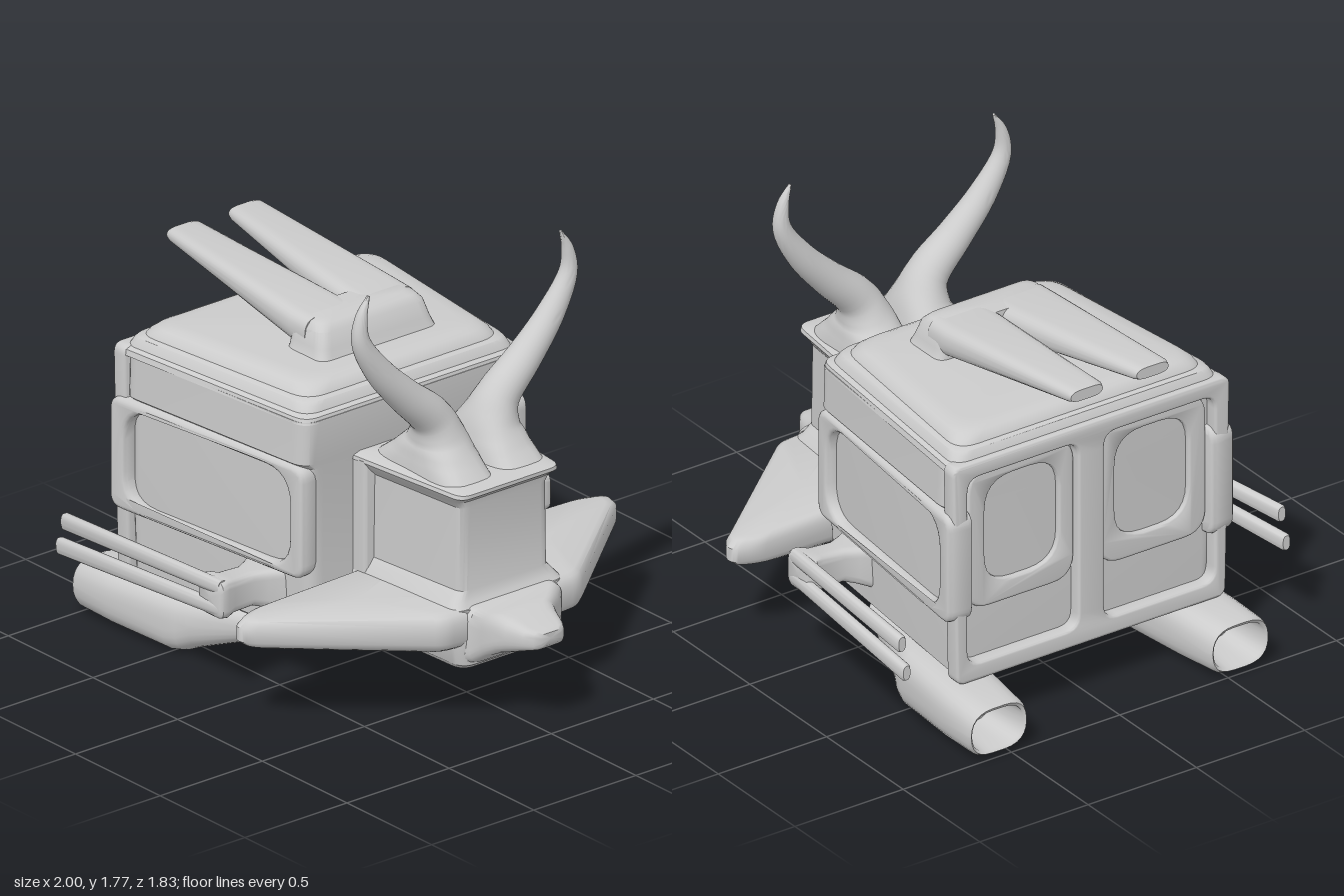
import * as THREE from 'three';
import { toCreasedNormals } from 'three/addons/utils/BufferGeometryUtils.js';

const V = (x, y, z) => new THREE.Vector3(x, y, z);
const material = new THREE.MeshStandardMaterial({ color: 0xcccccc });

// Rounds the corners of a 2D polygon; the point count depends only on the corner count.
function rounded(corners, r, n = 6) {
  const pts = corners.map(c => new THREE.Vector2(...c)), out = [];
  pts.forEach((p, i) => {
    const cut = q => p.clone().lerp(q, Math.min(0.49, r / p.distanceTo(q)));
    const a = cut(pts.at(i - 1)), b = cut(pts[(i + 1) % pts.length]);
    out.push(...new THREE.QuadraticBezierCurve(a, p, b).getPoints(n));
  });
  return out;
}
const rect = (a0, a1, b0, b1, r) => rounded([[a0, b0], [a1, b0], [a1, b1], [a0, b1]], r);

// Closed skin over a row of rings, turned outward by its signed volume.
function loft(rings, crease = 0.8) {
  const n = rings[0].length, pts = rings.flat(), idx = [];
  for (let i = 0; i < rings.length - 1; i++)
    for (let j = 0; j < n; j++) {
      const a = i * n + j, b = i * n + (j + 1) % n;
      idx.push(a, b, a + n, b, b + n, a + n);
    }
  [0, rings.length - 1].forEach((k, end) => {
    const mid = rings[k].reduce((s, p) => s.add(p), V(0, 0, 0)).divideScalar(n);
    const c = pts.push(mid) - 1;
    for (let j = 0; j < n; j++) {
      const a = k * n + j, b = k * n + (j + 1) % n;
      idx.push(...(end ? [a, b, c] : [b, a, c]));
    }
  });
  let vol = 0;
  for (let i = 0; i < idx.length; i += 3)
    vol += pts[idx[i]].dot(V(0, 0, 0).crossVectors(pts[idx[i + 1]], pts[idx[i + 2]]));
  if (vol < 0) idx.reverse();
  const g = new THREE.BufferGeometry().setFromPoints(pts);
  g.setIndex(idx);
  return toCreasedNormals(g, crease);
}

// Stack of rounded trapezoids: [y, xBack, xFront, halfWidthBack, halfWidthFront, radius]
const stack = rows => loft(rows.map(([y, x0, x1, h0, h1, r]) =>
  rounded([[x0, -h0], [x1, -h1], [x1, h1], [x0, h0]], r).map(p => V(p.x, y, p.y))), 0.55);

// Row of rounded rectangles along x: [x, y0, y1, z0, z1, radius]
const alongX = rows => loft(rows.map(([x, y0, y1, z0, z1, r]) =>
  rect(z0, z1, y0, y1, r).map(p => V(x, p.y, p.x))));

// Flat frame with rounded openings; bevel softens the edges.
function frame(outer, holes, depth, bevel = 0.012) {
  const s = new THREE.Shape(outer);
  s.holes = holes.map(h => new THREE.Path(h));
  const g = new THREE.ExtrudeGeometry(s, { depth: depth - 2 * bevel, bevelThickness: bevel, bevelSize: bevel, bevelOffset: -bevel, bevelSegments: 3 });
  g.deleteAttribute('uv');
  return toCreasedNormals(g, 0.8);
}

function mirrorZ(geo) {
  const g = geo.index ? geo.toNonIndexed() : geo.clone();
  g.scale(1, 1, -1);
  for (const a of Object.values(g.attributes))
    for (let i = 0; i < a.count; i += 3)
      for (let k = 0; k < a.itemSize; k++) {
        const t = a.getComponent(i + 1, k);
        a.setComponent(i + 1, k, a.getComponent(i + 2, k));
        a.setComponent(i + 2, k, t);
      }
  return g;
}

// Horn: rings swept along a curve in the y-z plane, boxy at the mound and oval above.
function horn() {
  const path = new THREE.CatmullRomCurve3([
    V(0.46, 0.95, 0.125), V(0.47, 1.03, 0.125), V(0.48, 1.1, 0.132), V(0.488, 1.18, 0.165), V(0.49, 1.3, 0.29),
    V(0.488, 1.44, 0.42), V(0.487, 1.59, 0.508), V(0.487, 1.69, 0.503), V(0.487, 1.765, 0.47)]);
  // half size across the curve, half size along x
  const size = new THREE.CatmullRomCurve3([
    V(0.123, 0.27, 0), V(0.114, 0.185, 0), V(0.1, 0.125, 0), V(0.082, 0.088, 0), V(0.068, 0.07, 0),
    V(0.055, 0.054, 0), V(0.037, 0.036, 0), V(0.023, 0.024, 0), V(0.005, 0.007, 0)]);
  const rings = [], n = 40;
  for (let i = 0; i <= n; i++) {
    const p = path.getPoint(i / n), t = path.getTangent(i / n), s = size.getPoint(i / n);
    const side = V(0, -t.z, t.y).normalize(), e = Math.min(1, 0.45 + 1.8 * i / n);
    const wave = v => Math.sign(v) * Math.abs(v) ** e;
    const ring = [];
    for (let j = 0; j < 28; j++) {
      const a = j / 28 * Math.PI * 2;
      ring.push(p.clone().addScaledVector(side, wave(Math.cos(a)) * s.x).add(V(wave(Math.sin(a)) * s.y, 0, 0)));
    }
    rings.push(ring);
  }
  return loft(rings, 1.2);
}

// Triangular wing, thinner toward its tip.
function wing() {
  const corners = [[0.2, 0], [0.2, 0.82], [0.235, 0.92], [0.295, 0.91], [0.775, 0.33], [0.79, 0]];
  const outline = rounded(corners, 0.04);
  const rows = [[0.33, 0.9], [0.345, 0.96], [0.375, 1], [0.455, 1], [0.49, 0.96], [0.5, 0.9]];
  return loft(rows.map(([y, k]) => outline.map(p => {
    const z = p.y < 0.05 ? p.y : 0.25 + (p.y - 0.25) * k;
    return V(0.42 + (p.x - 0.42) * k, 0.42 + (y - 0.42) * (1 - 0.33 * z), z);
  })));
}

export function createModel() {
  const model = new THREE.Group();
  const add = (name, geo) => {
    const m = new THREE.Mesh(geo, material);
    m.name = name;
    model.add(m);
  };
  const pair = (name, geo) => { add(name + 'Left', mirrorZ(geo)); add(name + 'Right', geo); };

  // Cabin with stepped roof
  add('cabin', stack([
    [0.23, -0.765, 0.17, 0.56, 0.47, 0.05], [0.255, -0.765, 0.19, 0.595, 0.5, 0.06],
    [0.5, -0.765, 0.195, 0.605, 0.51, 0.06], [0.95, -0.765, 0.195, 0.605, 0.51, 0.06],
    [0.975, -0.765, 0.2, 0.635, 0.545, 0.07], [1.15, -0.765, 0.2, 0.63, 0.54, 0.07]]));
  // each roof row: height and inset from the cabin outline
  const roofSteps = [[1.14, 0], [1.163, 0.006], [1.172, 0.026], [1.195, 0.036], [1.207, 0.045],
    [1.214, 0.066], [1.232, 0.076], [1.248, 0.095], [1.258, 0.118], [1.262, 0.16]];
  add('roof', stack(roofSteps.map(([y, d]) => [y, -0.815 + d * 0.9, 0.2 - d, 0.64 - d, 0.54 - d, 0.06 + d * 0.5])));

  // Raised window surrounds on the slanted side walls
  const side = frame(rect(-0.51, 0.51, 0.505, 0.965, 0.06),
    [rect(-0.43, 0.435, 0.535, 0.93, 0.13)], 0.11, 0.02);
  side.translate(0, 0, -0.09).rotateY(0.107).translate(-0.31, 0, 0.607);
  pair('windowFrame', side);

  // Rear doors
  const rear = frame(rounded([[-0.62, 0.235], [0.62, 0.235], [0.64, 1.175], [-0.64, 1.175]], 0.04),
    [-1, 1].map(s => rect(s * 0.315 - 0.255, s * 0.315 + 0.255, 0.31, 1.11, 0.06)), 0.07);
  add('rearFrame', rear.rotateY(-Math.PI / 2).translate(-0.76, 0, 0));
  const door = frame(rect(0.06, 0.55, 0.52, 1.12, 0.1), [rect(0.13, 0.47, 0.61, 1.06, 0.13)], 0.04);
  pair('rearWindow', door.rotateY(-Math.PI / 2).translate(-0.76, 0, 0));

  // Forked roof antenna
  add('forkBase', stack([
    [1.24, -0.23, 0.0, 0.3, 0.3, 0.05], [1.265, -0.23, -0.01, 0.285, 0.285, 0.05],
    [1.3, -0.23, -0.025, 0.275, 0.275, 0.05], [1.36, -0.23, -0.045, 0.265, 0.26, 0.05],
    [1.385, -0.23, -0.07, 0.245, 0.24, 0.05], [1.395, -0.23, -0.1, 0.21, 0.21, 0.05]]));
  pair('forkProng', alongX([
    [-0.13, 1.25, 1.393, 0.0, 0.27, 0.06], [-0.23, 1.27, 1.4, 0.0, 0.27, 0.06],
    [-0.98, 1.405, 1.464, 0.07, 0.232, 0.05], [-1, 1.412, 1.458, 0.078, 0.225, 0.05]]));

  // Cockpit: lower flare, recessed walls, rear pillar and overhanging rim
  add('cockpit', stack([
    [0.48, 0.15, 0.77, 0.31, 0.27, 0.05], [0.51, 0.15, 0.745, 0.3, 0.25, 0.05],
    [0.55, 0.15, 0.73, 0.27, 0.215, 0.04], [0.89, 0.15, 0.73, 0.265, 0.21, 0.04],
    [0.92, 0.15, 0.735, 0.295, 0.23, 0.05], [0.945, 0.15, 0.765, 0.31, 0.245, 0.05],
    [0.96, 0.15, 0.765, 0.308, 0.24, 0.05], [0.972, 0.16, 0.72, 0.28, 0.215, 0.06]]));
  add('cockpitPillar', stack([[0.49, 0.15, 0.265, 0.305, 0.3, 0.02], [0.95, 0.15, 0.265, 0.305, 0.3, 0.02]]));
  pair('horn', horn());

  // Lower hull, wings and nose
  add('lowerHull', stack([
    [0.235, 0.1, 0.74, 0.25, 0.22, 0.06], [0.26, 0.1, 0.77, 0.28, 0.24, 0.06],
    [0.36, 0.1, 0.78, 0.32, 0.26, 0.06], [0.49, 0.1, 0.77, 0.31, 0.26, 0.06]]));
  pair('wing', wing());
  add('nose', alongX([
    [0.72, 0.25, 0.5, -0.24, 0.24, 0.06], [0.79, 0.275, 0.495, -0.225, 0.225, 0.06],
    [0.815, 0.3, 0.475, -0.19, 0.19, 0.06], [0.84, 0.31, 0.465, -0.15, 0.15, 0.06],
    [0.88, 0.32, 0.455, -0.13, 0.13, 0.06], [0.95, 0.345, 0.435, -0.1, 0.1, 0.04],
    [0.985, 0.355, 0.43, -0.075, 0.075, 0.03], [1, 0.37, 0.42, -0.05, 0.05, 0.02]]));

  // Hollow exhaust pods under the cabin
  pair('exhaust', alongX([
    [-0.8, 0.05, 0.19, 0.46, 0.65, 0.08], [-0.99, 0.035, 0.2, 0.44, 0.675, 0.09],
    [-1, 0.025, 0.215, 0.43, 0.685, 0.1], [-0.98, 0.015, 0.222, 0.42, 0.69, 0.1],
    [-0.8, 0.007, 0.232, 0.4, 0.685, 0.1], [-0.5, 0, 0.245, 0.375, 0.66, 0.1],
    [-0.45, 0.008, 0.245, 0.37, 0.645, 0.1], [-0.4, 0.03, 0.245, 0.365, 0.62, 0.1],
    [-0.16, 0.125, 0.245, 0.35, 0.54, 0.06], [-0.12, 0.15, 0.245, 0.35, 0.53, 0.05],
    [-0.1, 0.19, 0.245, 0.36, 0.52, 0.03]]));

  // Twin side guns on a short arm
  pair('gunArm', loft([
    [0.46, -0.17, 0.1, 0.3, 0.5], [0.54, -0.15, 0.05, 0.33, 0.5], [0.58, -0.125, 0.03, 0.345, 0.5],
    [0.63, -0.1, 0.01, 0.36, 0.5], [0.73, -0.1, 0.015, 0.36, 0.505], [0.77, -0.12, 0.03, 0.355, 0.515],
    [0.8, -0.11, 0.03, 0.36, 0.51], [0.81, -0.1, 0.02, 0.37, 0.5]]
    .map(([z, x0, x1, y0, y1]) => rect(x0, x1, y0, y1, 0.035).map(p => V(p.x, p.y, z)))));
  for (const [name, tip, y0, y1] of [['upperGun', -0.82, 0.485, 0.503], ['lowerGun', -0.85, 0.395, 0.393]])
    pair(name, alongX([
      [0.01, y0 - 0.03, y0 + 0.03, 0.765, 0.81, 0.03],
      [tip + 0.01, y1 - 0.035, y1 + 0.035, 0.855, 0.898, 0.03],
      [tip, y1 - 0.03, y1 + 0.03, 0.86, 0.893, 0.03]]));

  return model;
}
